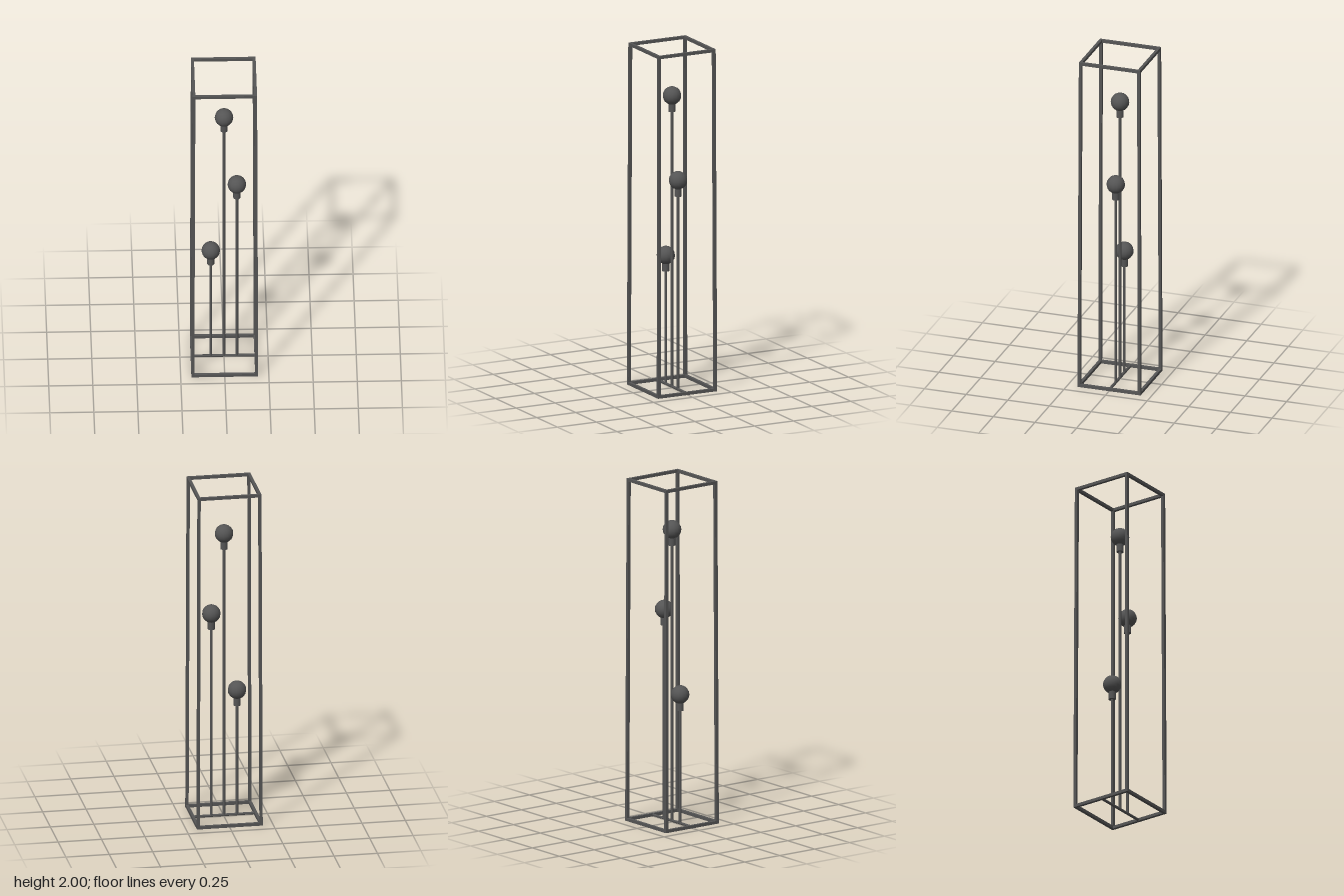
import * as THREE from 'three';

export function createModel() {
  const group = new THREE.Group();
  const material = new THREE.MeshStandardMaterial({ color: 0x555555 });

  const add = (name, geometry, x, y, z) => {
    const mesh = new THREE.Mesh(geometry, material);
    mesh.name = name;
    mesh.position.set(x, y, z);
    group.add(mesh);
    return mesh;
  };

  const bar = 0.017;
  const bottom = 0.181; // bar centre lines: the cage narrows slightly upward
  const top = 0.175;

  // Square rings at the foot and the top
  for (const [name, r, y] of [['bottomRail', bottom, bar / 2], ['topRail', top, 2 - bar / 2]]) {
    for (const s of [-1, 1]) {
      add(name, new THREE.BoxGeometry(2 * r + bar, bar, bar), 0, y, s * r);
      add(name, new THREE.BoxGeometry(bar, bar, 2 * r - bar), s * r, y, 0);
    }
  }

  // Corner posts, sheared inward toward the top
  for (const sx of [-1, 1]) {
    for (const sz of [-1, 1]) {
      const post = new THREE.BoxGeometry(bar, 2 - 2 * bar, bar);
      const p = post.attributes.position;
      for (let i = 0; i < p.count; i++) {
        const r = p.getY(i) > 0 ? top : bottom;
        p.setX(i, p.getX(i) + sx * r);
        p.setZ(i, p.getZ(i) + sz * r);
      }
      post.computeVertexNormals();
      add('cornerPost', post, 0, 1, 0);
    }
  }

  // Crossbar carrying the stems
  add('crossbar', new THREE.CylinderGeometry(0.008, 0.008, 2 * bottom, 8), 0, bar / 2, 0)
    .rotation.z = Math.PI / 2;

  // Three stems, each with a socket and a round bulb
  for (const [x, y] of [[-0.075, 0.76], [0, 1.71], [0.073, 1.23]]) {
    const base = y - 0.09;
    add('stem', new THREE.CylinderGeometry(0.008, 0.008, base, 8), x, base / 2 + 0.005, 0);
    add('socket', new THREE.CylinderGeometry(0.021, 0.021, 0.055, 12), x, base + 0.0245, 0);
    add('bulb', new THREE.SphereGeometry(0.053, 14, 10), x, y, 0);
  }

  return group;
}
